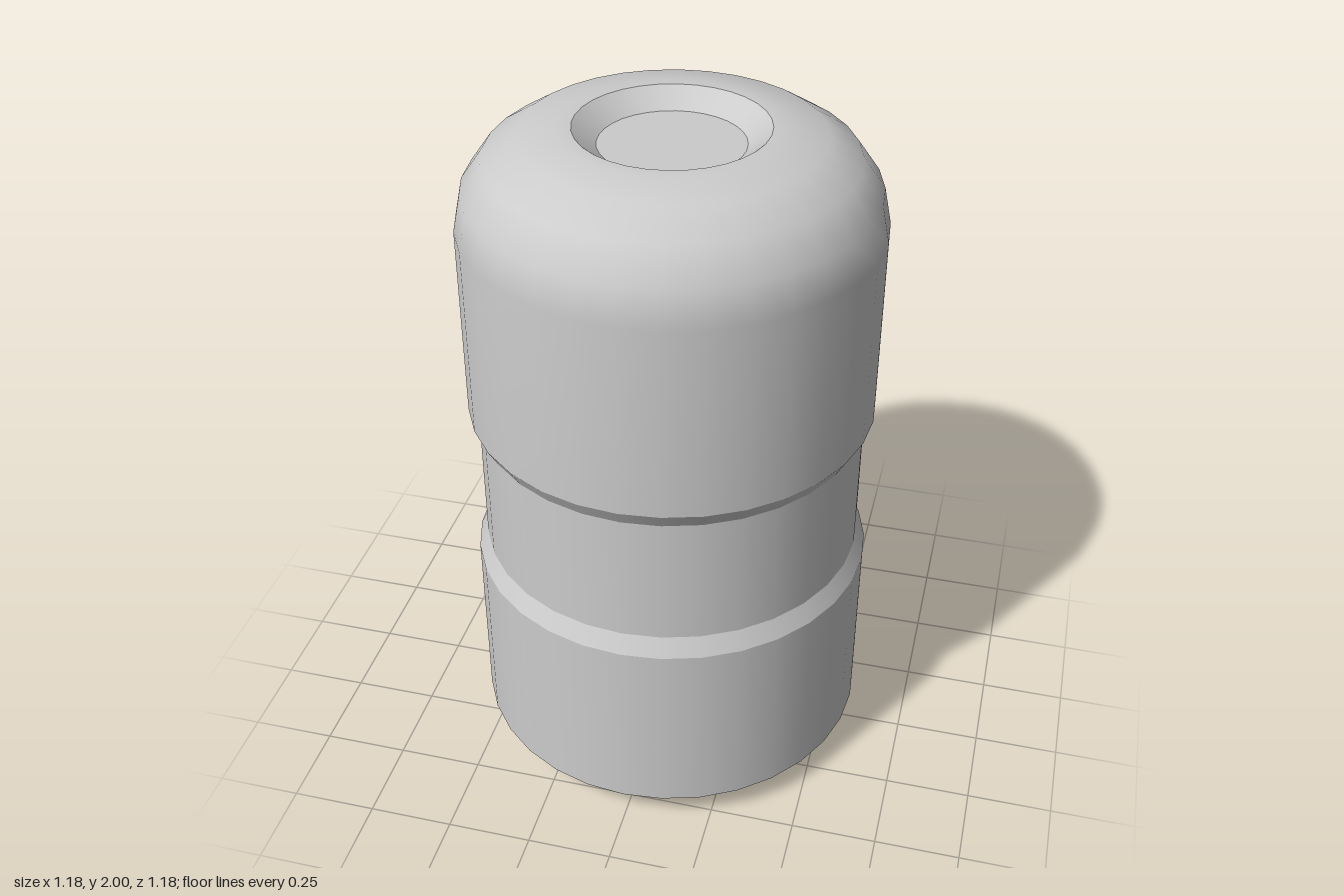
import * as THREE from 'three';
import { mergeGeometries } from 'three/addons/utils/BufferGeometryUtils.js';

const SIDES = 32;
const R = 0.588;      // body radius
const WAIST = 0.56;   // recessed grip radius

// Each run is smooth along its profile; edges between runs stay sharp.
function turned(name, runs, material) {
  const parts = runs.map(run =>
    new THREE.LatheGeometry(run.map(([r, y]) => new THREE.Vector2(r, y)), SIDES));
  const mesh = new THREE.Mesh(mergeGeometries(parts), material);
  mesh.name = name;
  return mesh;
}

export function createModel() {
  const group = new THREE.Group();
  group.name = 'capsuleBody';
  const grey = new THREE.MeshStandardMaterial({ color: 0xcccccc });

  // Rounded shoulder: quarter ellipse from the wall to the flat top rim
  const shoulder = [];
  for (let i = 0; i <= 4; i++) {
    const a = (i / 4) * Math.PI / 2;
    shoulder.push([0.305 + (R - 0.305) * Math.cos(a), 1.73 + 0.27 * Math.sin(a)]);
  }

  group.add(
    // Flat foot with chamfered edge and lower wall
    turned('base', [
      [[0, 0], [0.495, 0]],
      [[0.495, 0], [R, 0.095]],
      [[R, 0.095], [R, 0.66]],
    ], grey),
    // Recessed band with sloped shoulders
    turned('waist', [
      [[R, 0.66], [WAIST, 0.715]],
      [[WAIST, 0.715], [WAIST, 1.11]],
      [[WAIST, 1.11], [R, 1.16]],
    ], grey),
    // Upper wall flowing into the domed shoulder
    turned('upperBody', [[[R, 1.16], ...shoulder, [0.265, 2]]], grey),
    // Shallow dished recess in the top
    turned('topRecess', [
      [[0.265, 2], [0.2, 1.95]],
      [[0.2, 1.95], [0, 1.95]],
    ], grey),
  );
  return group;
}
